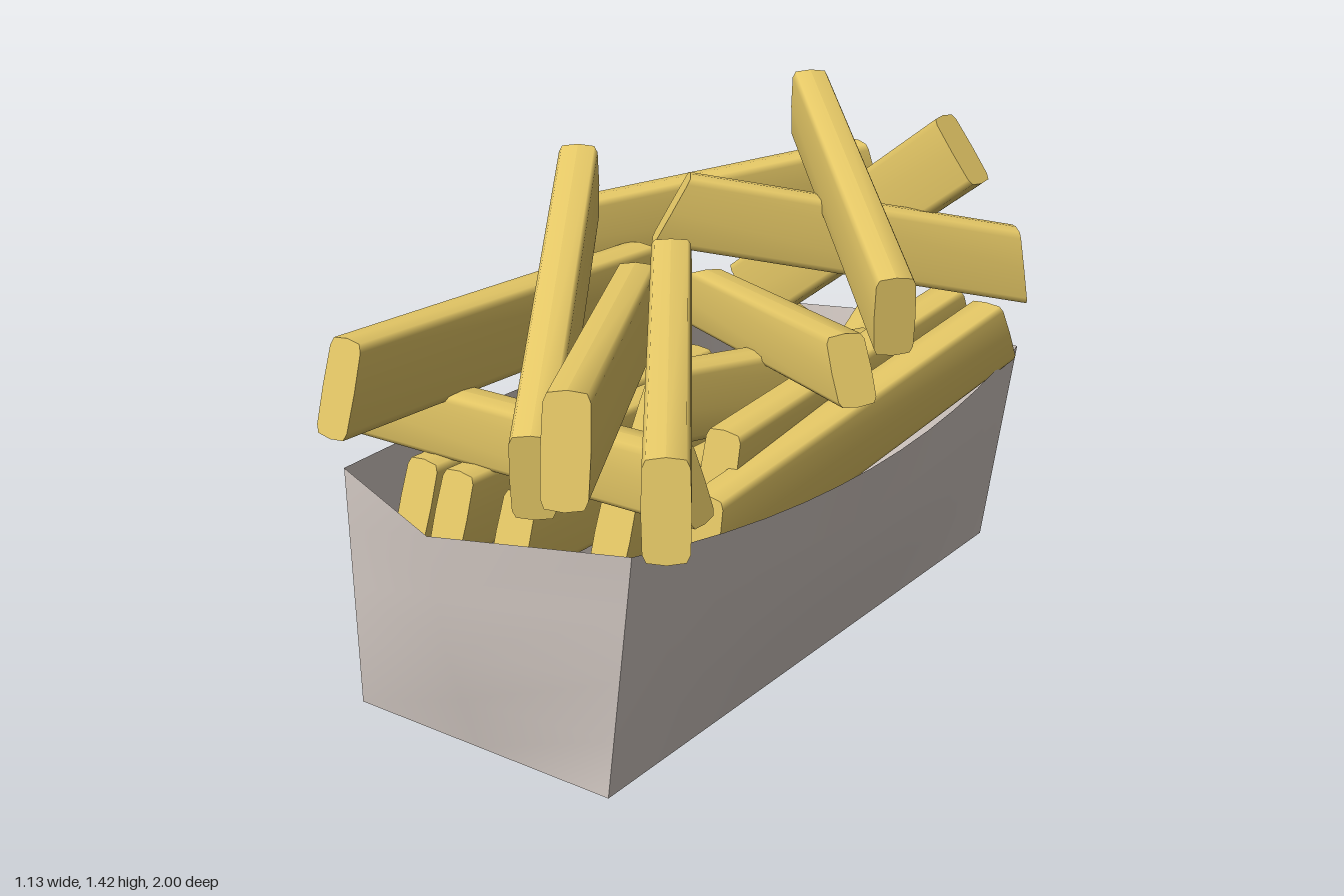
import * as THREE from 'three';
import { toCreasedNormals } from 'three/addons/utils/BufferGeometryUtils.js';

const trayMat = new THREE.MeshStandardMaterial({ color: 0xd6ccc6, side: THREE.DoubleSide });
const fryMat = new THREE.MeshStandardMaterial({ color: 0xe3c665 });

// One point of the tray wall; t runs from floor (0) to rim (1)
function wallPoint(side, s, t) {
  const flare = Math.min(1, 2 * t), curve = 1 - s * s;
  const x = side < 0 ? -0.44 - 0.05 * flare * curve
    : 0.37 + 0.08 * t + 0.05 * flare * curve;
  const rim = side < 0 ? 0.635 : 0.59 + 0.075 * s * s;
  const floor = side < 0 ? 0.0175 * (1 - s) : 0.055 - 0.005 * s;
  return [x, floor + (rim - floor) * t, 0.85 * s];
}

// Pointed middle of each short end
function endPoint(dir, t) {
  const out = t < 0.5 ? 0.2 * t : 0.05 + 0.1 * t;
  const floor = 0.0365 - 0.0115 * dir;
  return [-0.035 + 0.035 * t, floor + (0.64 - floor) * t, dir * (0.85 + out)];
}

function createTray() {
  const N = 12, LEVELS = 4, positions = [], index = [];
  const M = 2 * (N + 1) + 2;
  for (let l = 0; l <= LEVELS; l++) {
    const t = l / LEVELS;
    for (let i = 0; i <= N; i++) positions.push(...wallPoint(-1, -1 + 2 * i / N, t));
    positions.push(...endPoint(1, t));
    for (let i = 0; i <= N; i++) positions.push(...wallPoint(1, 1 - 2 * i / N, t));
    positions.push(...endPoint(-1, t));
  }
  // walls
  for (let l = 0; l < LEVELS; l++) for (let i = 0; i < M; i++) {
    const a = l * M + i, b = l * M + (i + 1) % M;
    index.push(a, b, b + M, a, b + M, a + M);
  }
  // floor, seen from below
  for (let i = 0; i < N; i++) {
    const r = 2 * N + 2 - i;
    index.push(i, r, r - 1, i, r - 1, i + 1);
  }
  const g = new THREE.BufferGeometry();
  g.setAttribute('position', new THREE.Float32BufferAttribute(positions, 3));
  g.setIndex(index);
  const mesh = new THREE.Mesh(toCreasedNormals(g, 0.8), trayMat);
  mesh.name = 'tray';
  return mesh;
}

// Squared stick between two points; cutA and cutB slant its two ends,
// positive where the underside is longer
function createFry([x1, y1, z1, x2, y2, z2, h = 0.2, cutA = 0.035, cutB = cutA]) {
  const w = 0.105;
  const a = new THREE.Vector3(x1, y1, z1), b = new THREE.Vector3(x2, y2, z2);
  const len = a.distanceTo(b);
  const g = new THREE.CylinderGeometry(1, 1, len, 12);
  const p = g.attributes.position;
  const square = (v) => Math.abs(v) < 1e-6 ? 0 : Math.sign(v) * Math.abs(v) ** 0.33;
  for (let i = 0; i < p.count; i++) {
    const x = square(p.getX(i)), z = square(p.getZ(i)), y = p.getY(i);
    p.setXYZ(i, x * w / 2, y < 0 ? y + cutA * z : y - cutB * z, z * h / 2);
  }
  g.computeVertexNormals();
  const along = b.clone().sub(a).normalize();
  const across = along.clone().cross(new THREE.Vector3(0, 1, 0)).normalize();
  const upward = across.clone().cross(along);
  const mesh = new THREE.Mesh(g, fryMat);
  mesh.quaternion.setFromRotationMatrix(new THREE.Matrix4().makeBasis(across, along, upward));
  mesh.position.copy(a).add(b).multiplyScalar(0.5);
  mesh.name = 'fry';
  return mesh;
}

// Each row: start x y z, end x y z, optional height and end cuts
const topFries = [
  [-0.32, 0.89, -0.15, -0.32, 0.89, 0.945, 0.22],
  [-0.53, 0.725, 0.65, 0.36, 0.69, 0.53, 0.17],
  [-0.36, 1.19, 0.08, 0.08, 0.71, 0.75, 0.18, -0.055, 0.05],
  [-0.2, 0.89, 0.04, 0.33, 0.89, 0.91, 0.24],
  [-0.12, 1.0, 0.0, 0.51, 0.77, 0.81, 0.2, 0.05],
  [-0.23, 0.83, -0.27, 0.51, 0.88, 0.12, 0.16],
  [-0.12, 1.32, -0.62, 0.49, 0.95, -0.1, 0.18, -0.04, 0.04],
  [-0.45, 1.02, -0.04, -0.03, 1.11, -0.79, 0.2, 0.02],
  [-0.24, 1.1, -0.15, 0.48, 0.93, -0.77],
  [0.35, 1.25, -0.65, -0.33, 0.73, -0.66, 0.21, 0.0],
];
const lowerFries = [
  [0.28, 0.74, -0.78, 0.28, 0.63, 0.33],
  [0.42, 0.73, -0.76, 0.34, 0.53, 0.47],
  [0.24, 0.68, -0.45, 0.04, 0.73, 0.28],
  [0.36, 0.66, -0.6, 0.3, 0.56, 0.2],
  [-0.32, 0.54, -0.4, -0.32, 0.54, 0.74],
  [-0.2, 0.54, -0.4, -0.2, 0.54, 0.74],
  [0.0, 0.54, -0.3, 0.0, 0.54, 0.74],
  [0.18, 0.54, -0.6, 0.18, 0.54, 0.6],
  [-0.37, 0.62, -0.75, 0.15, 0.6, -0.45],
  [0.02, 0.7, -0.87, 0.2, 0.62, -0.3],
  [-0.14, 0.32, -0.87, -0.34, 0.32, -0.2],
];

export function createModel() {
  const model = new THREE.Group();
  model.name = 'trayOfFries';
  model.add(createTray());
  for (const [name, rows] of [['topFries', topFries], ['lowerFries', lowerFries]]) {
    const group = new THREE.Group();
    group.name = name;
    for (const row of rows) group.add(createFry(row));
    model.add(group);
  }
  return model;
}
